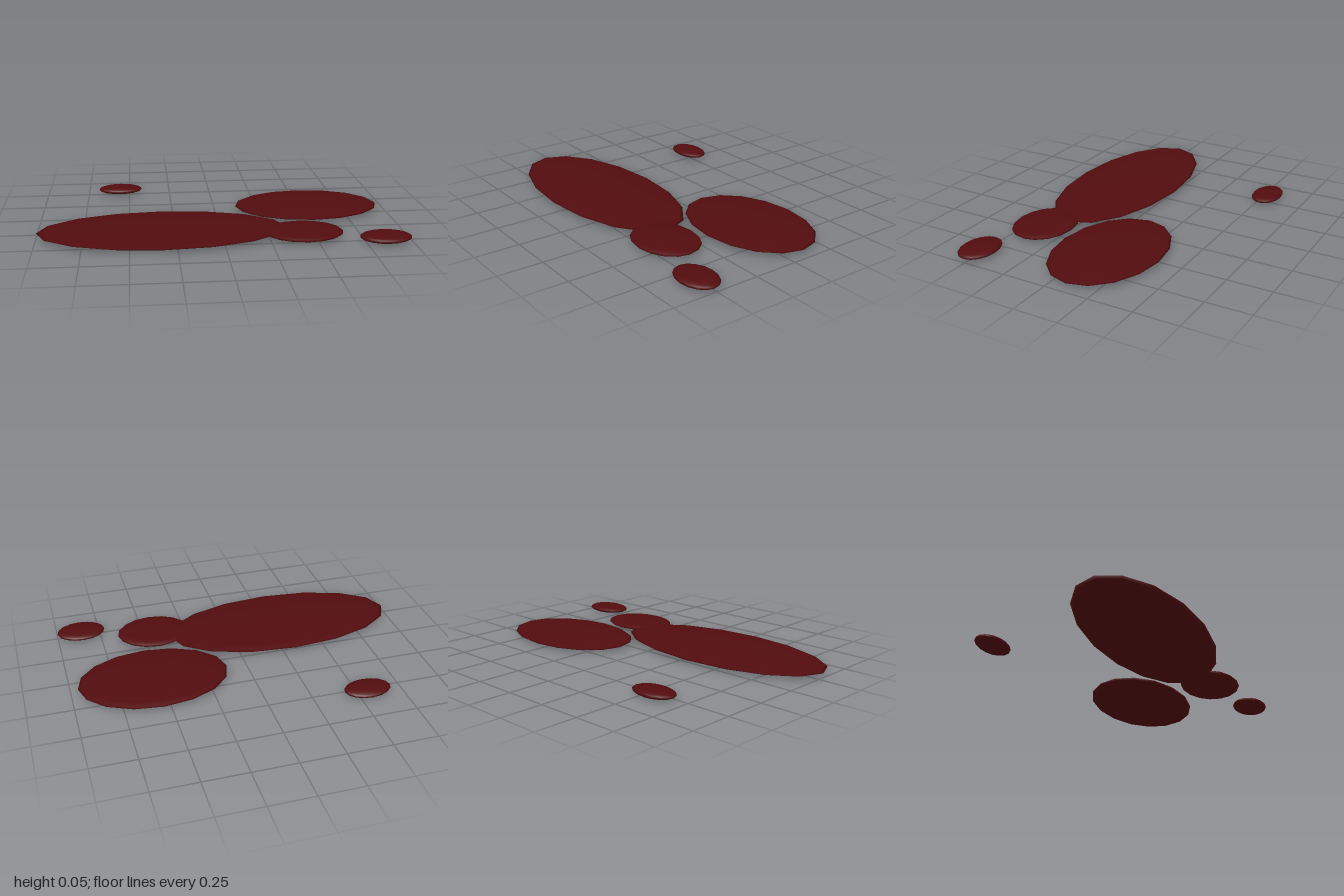
import * as THREE from 'three';

export function createModel() {
  const group = new THREE.Group();
  const darkRed = new THREE.MeshStandardMaterial({ color: 0x520c0e });
  darkRed.name = 'darkRed';

  // Every puddle is the same low sphere, flattened and stretched
  const blob = new THREE.SphereGeometry(1, 16, 12);
  const halfHeight = 0.024;

  // name, centre x, centre z, radius x, radius z
  const puddles = [
    ['largePuddle', -0.32, 0.29, 0.68, 0.32],
    ['mediumPuddle', 0.54, -0.1, 0.42, 0.288],
    ['smallPuddle', 0.44, 0.385, 0.215, 0.17],
    ['frontDroplet', 0.86, 0.51, 0.14, 0.1],
    ['backDroplet', -0.555, -0.533, 0.132, 0.084],
  ];
  for (const [name, x, z, rx, rz] of puddles) {
    const mesh = new THREE.Mesh(blob, darkRed);
    mesh.name = name;
    mesh.position.set(x, halfHeight, z);
    mesh.scale.set(rx, halfHeight, rz);
    group.add(mesh);
  }
  return group;
}
